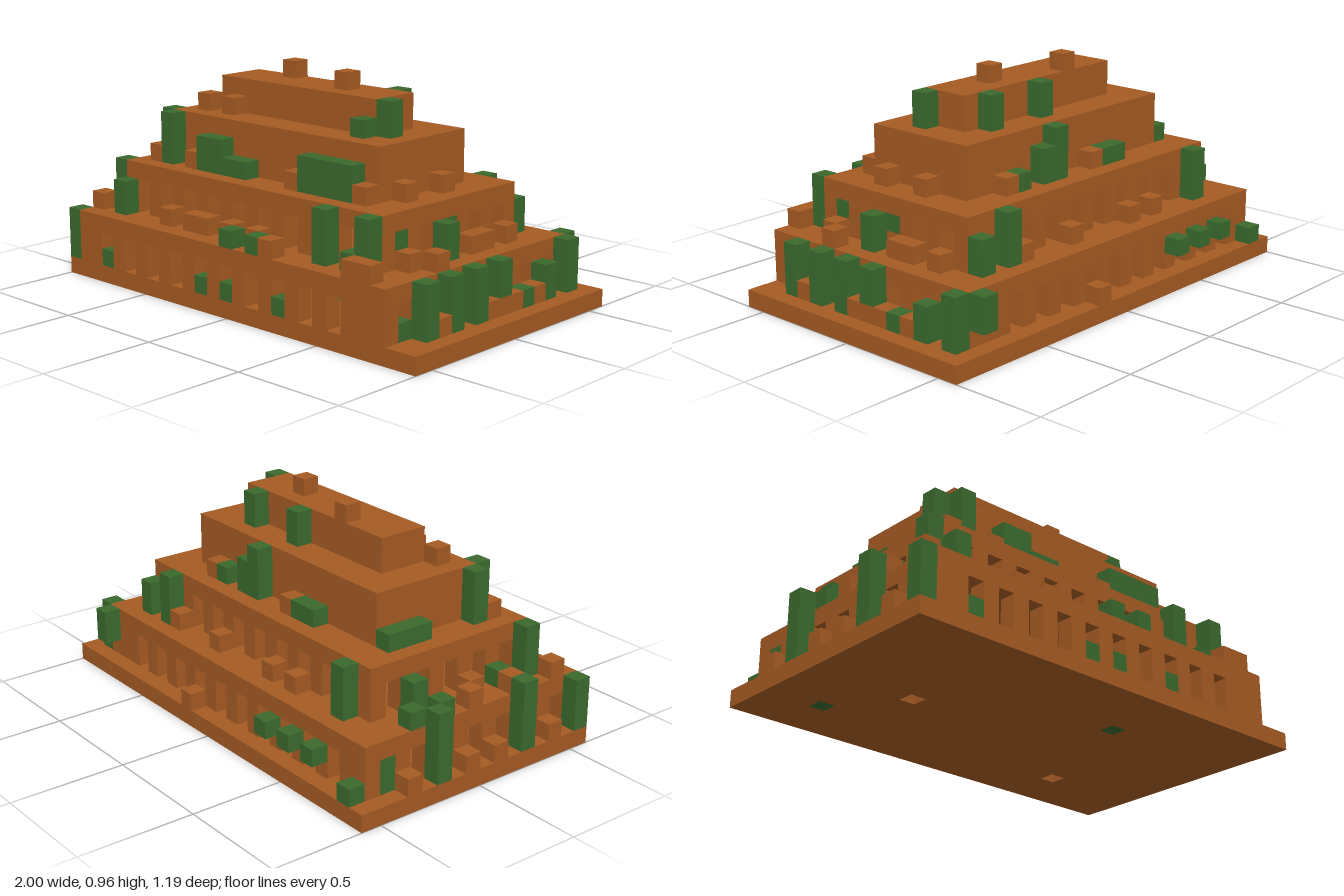
import * as THREE from 'three';

const U = 2 / 27; // one block
const stone = new THREE.MeshStandardMaterial({ color: 0xa65b23 });
stone.name = 'terracotta stone';
const leaf = new THREE.MeshStandardMaterial({ color: 0x3b6a2e });
leaf.name = 'leaf green';

// Box spanning block columns i..i+w, rows j..j+d (from the back), layers y0..y1
function block(parent, name, mat, i, j, y0, y1, w = 1, d = 1) {
  const mesh = new THREE.Mesh(new THREE.BoxGeometry(w * U, (y1 - y0) * U, d * U), mat);
  mesh.position.set((i + w / 2 - 13.5) * U, (y0 + y1) / 2 * U, (j + d / 2 - 8) * U);
  mesh.name = name;
  parent.add(mesh);
}

function subgroup(parent, name) {
  const g = new THREE.Group();
  g.name = name;
  parent.add(g);
  return g;
}

// Single-block items given as [i, j, y0, y1, width]
function scatter(parent, groupName, name, mat, list) {
  const g = subgroup(parent, groupName);
  for (const [i, j, y0, y1, w = 1] of list) block(g, name, mat, i, j, y0, y1, w);
}

// Calls fn(start, length) for each solid run between openings
function runs(from, to, openings, fn) {
  let start = from;
  for (const o of [...openings, to]) {
    if (o > start) fn(start, o - start);
    start = o + 1;
  }
}

// Hollow storey: piers round all four sides, with a roof slab above
function arcade(parent, name, x0, z0, w, d, y, xGaps, zGaps) {
  const g = subgroup(parent, name);
  for (const j of [z0, z0 + d - 1])
    runs(x0, x0 + w, xGaps, (s, n) => block(g, 'pier', stone, s, j, y, y + 2, n, 1));
  for (const i of [x0, x0 + w - 1])
    runs(z0 + 1, z0 + d - 1, zGaps, (s, n) => block(g, 'pier', stone, i, s, y, y + 2, 1, n));
  block(g, 'roof slab', stone, x0, z0, y + 2, y + 3, w, d);
}

const steps = (a, b) => Array.from({ length: (b - a) / 2 + 1 }, (_, k) => a + 2 * k);

export function createModel() {
  const model = new THREE.Group();
  model.name = 'steppedRuin';

  // Base plate with small drain holes
  const plate = new THREE.Shape();
  plate.moveTo(-13.5 * U, -8 * U).lineTo(13.5 * U, -8 * U).lineTo(13.5 * U, 8 * U).lineTo(-13.5 * U, 8 * U);
  for (const [i, j] of [[20, 3], [6, 7], [17, 11], [3, 3]]) {
    const x = (i - 13.5) * U, y = (7 - j) * U; // shape y is -z
    const hole = new THREE.Path();
    hole.moveTo(x, y).lineTo(x, y + U).lineTo(x + U, y + U).lineTo(x + U, y);
    plate.holes.push(hole);
  }
  const base = new THREE.Mesh(
    new THREE.ExtrudeGeometry(plate, { depth: U, bevelEnabled: false }).rotateX(-Math.PI / 2), stone);
  base.name = 'basePlate';
  model.add(base);
  scatter(model, 'drainMoss', 'moss plug', leaf, [[17, 11, 0, 1], [3, 3, 0, 1]]);

  // Four stepped storeys
  arcade(model, 'lowerArcade', 1, 1, 24, 15, 1, steps(3, 21), steps(2, 14));
  arcade(model, 'upperArcade', 3, 3, 20, 11, 4, steps(4, 20), steps(4, 12));
  block(model, 'thirdTier', stone, 5, 5, 7, 10, 16, 7);
  block(model, 'topTier', stone, 7, 7, 10, 12, 12, 3);

  // Broken parapets and loose stones on each terrace
  scatter(model, 'groundStones', 'stone', stone, [
    [15, 0, 1, 2], [25, 4, 1, 2], [25, 6, 1, 2], [25, 7, 1, 2], [25, 8, 1, 2], [25, 12, 1, 2],
    [0, 3, 1, 2], [0, 7, 1, 2], [0, 9, 1, 2], [0, 13, 1, 2],
  ]);
  scatter(model, 'lowerParapet', 'stone', stone, [
    [1, 14, 4, 5], [7, 14, 4, 5], [9, 14, 4, 5], [10, 14, 4, 5], [12, 14, 4, 5], [14, 14, 4, 5],
    [16, 15, 4, 5], [22, 15, 4, 5, 2],
    [8, 2, 4, 5], [10, 2, 4, 5], [15, 2, 4, 5], [19, 2, 4, 5],
    [23, 4, 4, 5], [23, 6, 4, 5], [23, 7, 4, 5], [23, 12, 4, 5], [24, 11, 4, 5],
    [1, 8, 4, 5], [2, 9, 4, 5], [1, 11, 4, 5],
  ]);
  scatter(model, 'upperParapet', 'stone', stone, [
    [4, 12, 7, 8], [7, 12, 7, 8], [15, 12, 7, 8], [20, 12, 7, 8], [21, 10, 7, 8],
    [11, 4, 7, 8], [18, 4, 7, 8], [21, 7, 7, 8],
  ]);
  scatter(model, 'topStones', 'stone', stone, [
    [6, 10, 10, 11], [8, 10, 10, 11], [10, 7, 12, 13], [15, 8, 12, 13],
  ]);

  // Plants growing on and around the walls
  scatter(model, 'groundPlants', 'plant', leaf, [
    [25, 13, 1, 4], [25, 11, 1, 4], [25, 9, 1, 4], [25, 7, 2, 4], [25, 5, 1, 2], [25, 3, 1, 3], [25, 1, 1, 4],
    [0, 15, 1, 4], [0, 11, 1, 5], [0, 5, 1, 5],
    [1, 0, 1, 2], [4, 0, 2, 3], [6, 0, 2, 3], [8, 0, 2, 3], [24, 0, 2, 4],
  ]);
  scatter(model, 'windowPlants', 'plant', leaf, [
    [3, 15, 1, 2], [11, 15, 1, 2], [13, 15, 1, 2], [17, 15, 1, 2],
    [24, 14, 1, 2], [24, 2, 1, 2], [1, 2, 1, 3],
    [22, 12, 5, 6], [22, 8, 5, 6],
  ]);
  scatter(model, 'lowerTerracePlants', 'plant', leaf, [
    [3, 14, 4, 6], [13, 15, 4, 5], [15, 15, 4, 5], [19, 14, 4, 7], [21, 14, 4, 5], [22, 14, 4, 7],
    [23, 9, 4, 6], [22, 2, 4, 6], [20, 2, 4, 7], [4, 2, 4, 7],
    [2, 13, 4, 7], [2, 11, 4, 5], [2, 5, 4, 6], [1, 4, 4, 5], [1, 6, 4, 5],
  ]);
  scatter(model, 'upperTerracePlants', 'plant', leaf, [
    [5, 12, 7, 10], [4, 11, 7, 10], [8, 12, 7, 9, 2], [10, 12, 7, 8, 2], [16, 12, 7, 9, 4],
    [9, 4, 7, 8, 2], [14, 4, 7, 10], [15, 4, 7, 9], [17, 4, 7, 8],
    [4, 5, 7, 8], [4, 6, 7, 8], [4, 7, 7, 8],
  ]);
  scatter(model, 'topPlants', 'plant', leaf, [
    [19, 9, 10, 12], [18, 10, 10, 11], [13, 6, 10, 12], [17, 6, 10, 12],
  ]);

  return model;
}
